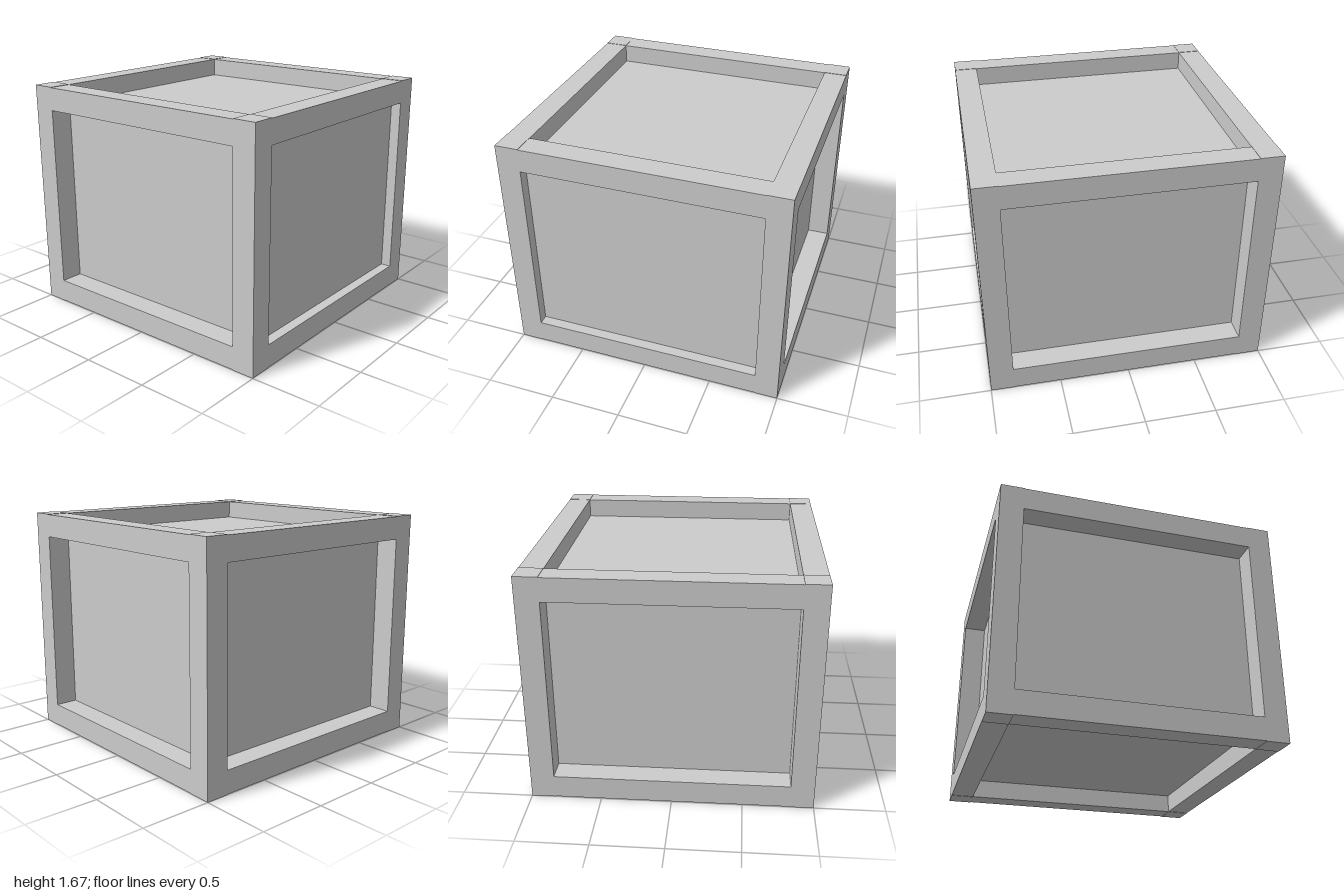
import * as THREE from 'three';

export function createModel() {
  const group = new THREE.Group();
  const material = new THREE.MeshStandardMaterial({ color: 0xcccccc, flatShading: true });

  const W = 2, H = 1.675;     // overall width/depth and height
  const T = 0.167;            // beam thickness
  const inset = 0.003;        // rails sit a hair inside the post ends
  const span = W - 2 * T;     // clear length between posts
  const c = W / 2 - T / 2;    // beam centre line

  // Box given by its two opposite corners
  function box(name, min, max) {
    const size = max.map((v, i) => v - min[i]);
    const mesh = new THREE.Mesh(new THREE.BoxGeometry(...size), material);
    mesh.position.set(...max.map((v, i) => (v + min[i]) / 2));
    mesh.name = name;
    group.add(mesh);
  }

  // Beam given by its centre and size
  function beam(name, [x, y, z], [w, h, d]) {
    box(name, [x - w / 2, y - h / 2, z - d / 2], [x + w / 2, y + h / 2, z + d / 2]);
  }

  // Inner body, its faces forming the recessed panels (shallower on the left)
  box('panelBody', [-0.835, 0.14, -0.835], [0.925, 1.535, 0.835]);

  for (const s of [-1, 1]) {
    const end = s > 0 ? 'front' : 'back';
    const side = s > 0 ? 'left' : 'right';

    // Corner posts
    for (const x of [-1, 1]) {
      beam(end + (x > 0 ? 'Left' : 'Right') + 'Post', [x * c, H / 2, s * c], [T, H, T]);
    }

    // Bottom and top rails
    for (const top of [false, true]) {
      const y = top ? H - inset - T / 2 : inset + T / 2;
      const level = top ? 'TopRail' : 'BottomRail';
      beam(end + level, [0, y, s * c], [span, T, T]);
      beam(side + level, [s * c, y, 0], [T, T, span]);
    }
  }
  return group;
}
